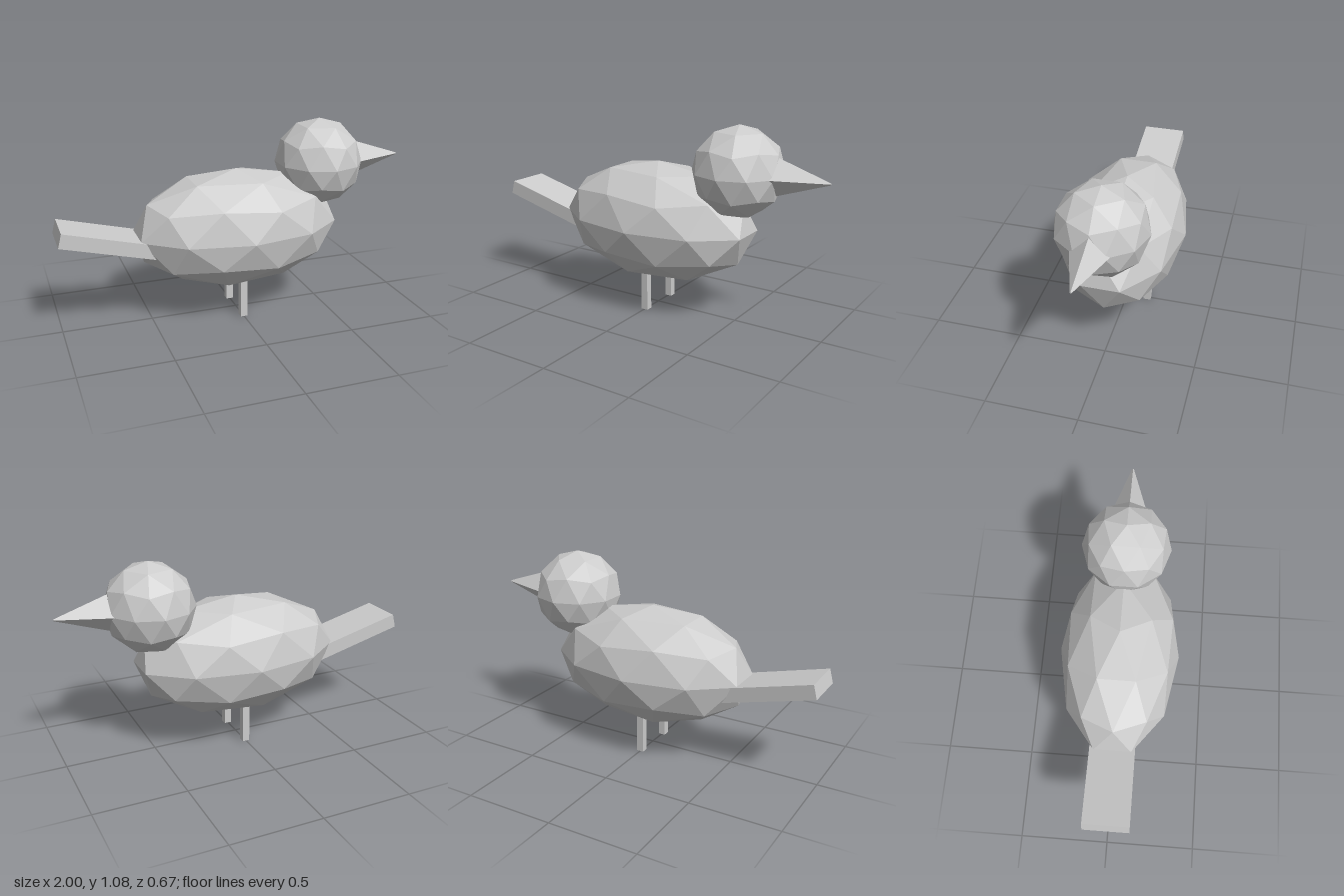
import * as THREE from 'three';

const grey = new THREE.MeshStandardMaterial({ color: 0xcccccc, flatShading: true });
grey.name = 'light grey';

// Icosphere standing on a vertex, each edge split once
function icosphere(rx, ry, rz) {
  const verts = [0, 1, 0, 0, -1, 0];
  const faces = [];
  const y = 1 / Math.sqrt(5), r = 2 * y;
  for (let k = 0; k < 5; k++) {
    const a = k * Math.PI * 0.4, b = a + Math.PI * 0.2;
    verts.push(r * Math.cos(a), y, r * Math.sin(a));
    verts.push(r * Math.cos(b), -y, r * Math.sin(b));
    const n = (k + 1) % 5;
    const u0 = 2 + 2 * k, u1 = 2 + 2 * n, l0 = u0 + 1, l1 = u1 + 1;
    faces.push(0, u1, u0, u0, u1, l0, u1, l1, l0, 1, l0, l1);
  }
  const geo = new THREE.PolyhedronGeometry(verts, faces, 1, 1);
  geo.scale(rx, ry, rz);
  geo.computeVertexNormals();
  return geo;
}

export function createModel() {
  const bird = new THREE.Group();
  bird.name = 'bird';
  const add = (name, geometry, x, y, z, tilt = 0) => {
    const mesh = new THREE.Mesh(geometry, grey);
    mesh.name = name;
    mesh.position.set(x, y, z);
    mesh.rotation.z = tilt;
    bird.add(mesh);
  };

  add('body', icosphere(0.597, 0.335, 0.335), 0, 0.5, 0);
  add('head', icosphere(0.248, 0.248, 0.248), 0.497, 0.834, 0);

  // Four-sided beak pointing forward along +x
  add('beak', new THREE.CylinderGeometry(0.005, 0.102, 0.29, 4), 0.855, 0.834, 0, -Math.PI / 2);

  // Flat tail, raised toward its tip
  add('tail', new THREE.BoxGeometry(0.6, 0.08, 0.25), -0.7, 0.499, 0, -0.25);

  // Straight square legs, tops sunk into the body
  for (const [name, z] of [['frontLeg', 0.125], ['backLeg', -0.125]]) {
    add(name, new THREE.BoxGeometry(0.04, 0.25, 0.04), 0, 0.125, z);
  }
  return bird;
}
